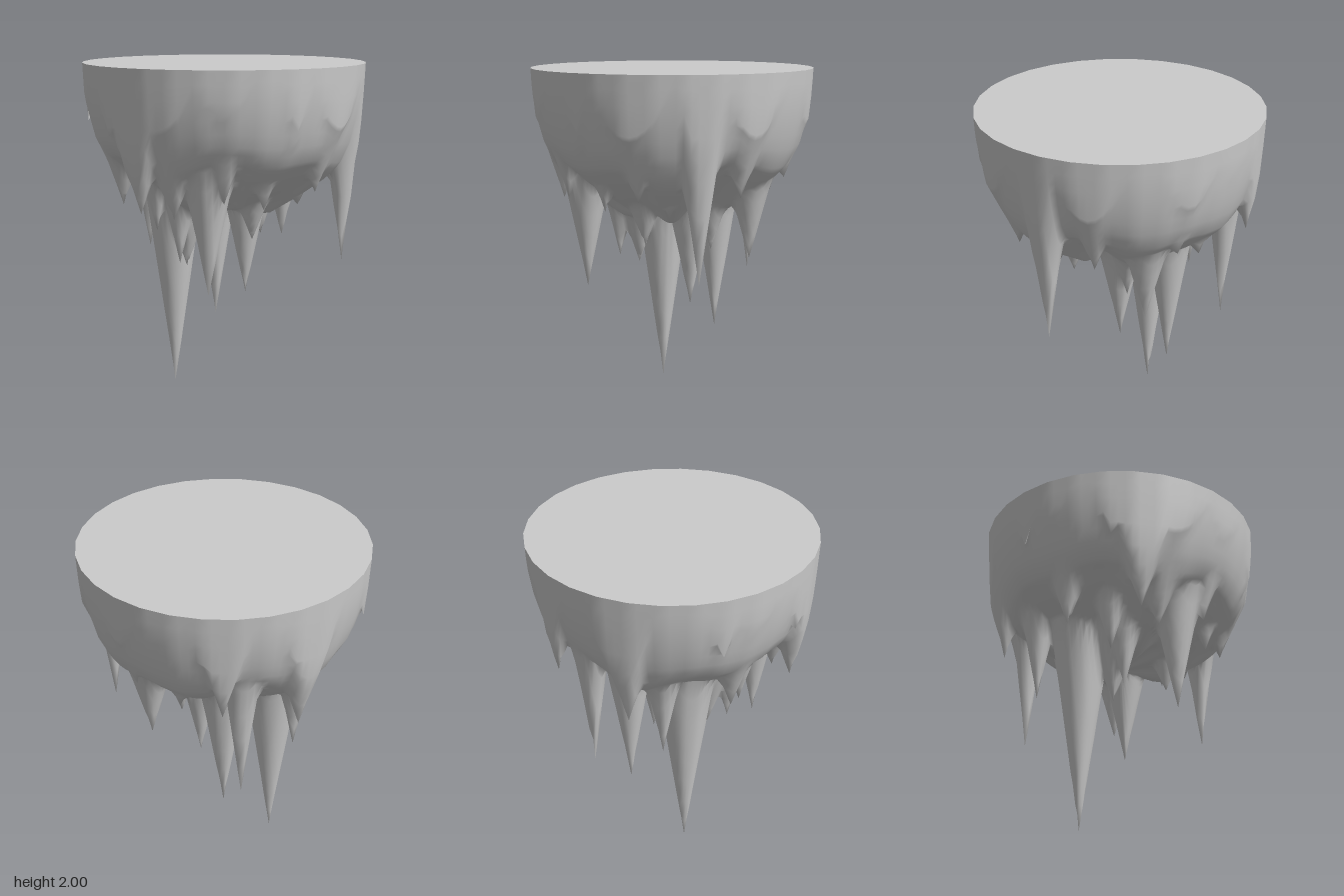
import * as THREE from 'three';

const SIDES = 30, SPLIT = 4; // rim sides, and columns of rock per side
const COLS = SIDES * SPLIT;
const mat = new THREE.MeshStandardMaterial({ color: 0xcccccc, side: THREE.DoubleSide });

// underside profile from rim to middle: radius, height
const PROFILE = [
  [0.847, 2], [0.838, 1.86], [0.815, 1.71], [0.775, 1.56], [0.72, 1.45],
  [0.62, 1.36], [0.48, 1.26], [0.3, 1.15], [0, 1.1],
];

// hanging points of rock: x, z, tip height, width gained per unit of height
const SPIKES = [
  // long icicles
  [-0.31, 0, 0, 0.145], [-0.1, -0.29, 0.37, 0.165], [0.12, -0.09, 0.57, 0.22],
  [-0.01, 0.52, 0.68, 0.21], [-0.3, -0.55, 0.69, 0.13], [0.72, -0.02, 0.81, 0.15],
  [-0.5, -0.18, 0.83, 0.2], [0.31, -0.41, 0.88, 0.28],
  // broad jagged lumps
  [-0.2, 0.17, 0.78, 0.36], [-0.22, 0.29, 0.82, 0.25], [0.2, 0.2, 0.96, 0.42],
  [0.2, -0.2, 0.92, 0.35], [-0.38, 0.62, 1.17, 0.35], [-0.2, 0.57, 1.13, 0.42],
  [-0.59, -0.4, 1.15, 0.3], [-0.58, 0.2, 1.15, 0.35], [0.46, 0.1, 1.16, 0.4],
  [0.3, 0.45, 1.18, 0.4], [0.58, 0.3, 1.27, 0.45], [0.1, 0.64, 1.24, 0.35],
  [0.62, -0.28, 1.29, 0.4], [-0.25, -0.73, 1.33, 0.3], [0.05, -0.6, 1.25, 0.4],
  [0.3, -0.62, 1.36, 0.4], [-0.35, 0.32, 1.02, 0.3],
  // ledges high on the wall
  [-0.82, 0.08, 1.64, 0.4], [-0.57, 0.57, 1.6, 0.35], [0.5, 0.62, 1.6, 0.35],
];

function profileAt(r) {
  for (let i = 1; i < PROFILE.length; i++) {
    const [r0, y0] = PROFILE[i - 1], [r1, y1] = PROFILE[i];
    if (r >= r1) return y0 + (y1 - y0) * (r0 - r) / (r0 - r1);
  }
  return PROFILE.at(-1)[1];
}

// the lowest of the bowl and all spikes at one place
function heightAt(x, z) {
  const r = Math.hypot(x, z), a = Math.atan2(x, z);
  const rough = Math.min(1, Math.max(0, (0.84 - r) * 6)) * Math.min(1, r * 4);
  let y = profileAt(r) + rough * (0.03 * Math.sin(4 * a) + 0.03 * Math.sin(7 * a + 1));
  for (const [sx, sz, tip, slope] of SPIKES) {
    const d = Math.hypot(x - sx, z - sz);
    y = Math.min(y, tip + d / slope);
  }
  // the wall always curves in below the rim
  return r > 0.79 ? Math.max(y, 1.4 + 0.6 * ((r - 0.79) / 0.057) ** 2) : y;
}

// round grid of columns hanging from the rim, with its points pulled onto the spike tips
function rockUnderside() {
  const radii = [0.847, 0.843, 0.838, 0.827, 0.815, 0.795];
  for (let r = 0.775; r > 0.02; r -= 0.025) radii.push(r);
  radii.push(0.004);

  const rimStep = Math.PI * 2 / SIDES;
  const points = [];
  radii.forEach((r, i) => {
    for (let j = 0; j < COLS; j++) {
      const a = j / COLS * Math.PI * 2;
      // keep the flat sides of the rim
      const local = (j % SPLIT) / SPLIT * rimStep - rimStep / 2;
      const flat = Math.cos(rimStep / 2) / Math.cos(local);
      const x = r * Math.sin(a), z = r * Math.cos(a);
      points.push([x * flat, i === 0 ? 2 : heightAt(x, z), z * flat]);
    }
  });

  for (const [x, z, tip] of SPIKES) {
    let best = COLS, bestD = Infinity;
    for (let k = COLS; k < points.length; k++) {
      const d = Math.hypot(points[k][0] - x, points[k][2] - z);
      if (d < bestD) { bestD = d; best = k; }
    }
    // a tip is only moved where no neighbouring spike already hangs lower
    if (tip <= heightAt(x, z)) points[best] = [x, tip, z];
  }

  const index = [];
  for (let i = 0; i < radii.length - 1; i++) {
    for (let j = 0; j < COLS; j++) {
      const a = i * COLS + j, b = i * COLS + (j + 1) % COLS;
      index.push(a, a + COLS, b, b, a + COLS, b + COLS);
    }
  }
  const g = new THREE.BufferGeometry();
  g.setAttribute('position', new THREE.Float32BufferAttribute(points.flat(), 3));
  g.setIndex(index);
  g.computeVertexNormals();
  return g;
}

export function createModel() {
  const model = new THREE.Group();

  // flat ground on top
  const top = new THREE.Mesh(new THREE.CircleGeometry(0.847, SIDES, Math.PI / 2), mat);
  top.name = 'topDisc';
  top.rotation.x = -Math.PI / 2;
  top.position.y = 2;

  const rock = new THREE.Mesh(rockUnderside(), mat);
  rock.name = 'rockUnderside';

  model.add(top, rock);
  return model;
}
